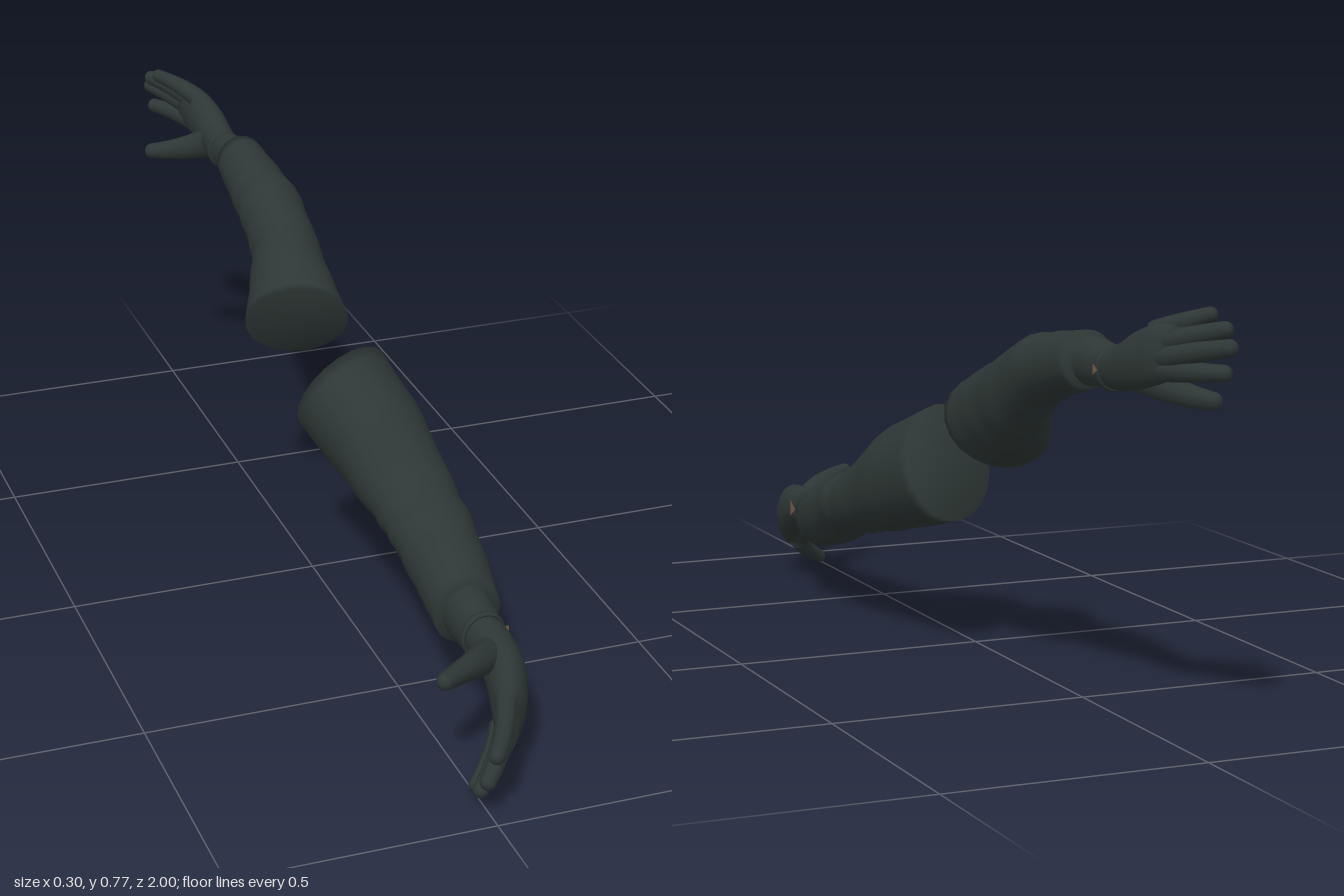
import * as THREE from 'three';

const cloth = new THREE.MeshStandardMaterial({ color: 0x2d3735, side: THREE.DoubleSide });
cloth.name = 'dark green cloth';
const skin = new THREE.MeshStandardMaterial({ color: 0x7a5a44, side: THREE.DoubleSide });
skin.name = 'brown skin';

const V = (a) => new THREE.Vector3(...a);

// Smooth closed skin over elliptical sections: [x, y, z, rx, ry, shearX, shearY]
function loft(sections, { steps = 4, sides = 20, folds = 0 } = {}) {
  const spline = (f) => new THREE.CatmullRomCurve3(sections.map(f), false, 'catmullrom', 0.4);
  const mid = spline((s) => new THREE.Vector3(s[0], s[1], s[2]));
  const rad = spline((s) => new THREE.Vector3(s[3], s[4], 0));
  const tilt = spline((s) => new THREE.Vector3(s[5] || 0, s[6] || 0, 0));
  const rows = (sections.length - 1) * steps;
  const pos = [], index = [];
  for (let i = 0; i <= rows; i++) {
    const t = i / rows, c = mid.getPoint(t), r = rad.getPoint(t), k = tilt.getPoint(t);
    for (let j = 0; j < sides; j++) {
      const a = (j / sides) * Math.PI * 2;
      const w = 1 + folds * Math.sin(Math.PI * t) * Math.sin(t * 34 + 2 * Math.sin(a + t * 5));
      const dx = r.x * w * Math.cos(a), dy = r.y * w * Math.sin(a);
      pos.push(c.x + dx, c.y + dy, c.z + k.x * dx + k.y * dy);
    }
  }
  const flip = sections[sections.length - 1][2] < sections[0][2];
  const tri = (a, b, c) => (flip ? index.push(a, c, b) : index.push(a, b, c));
  for (let i = 0; i < rows; i++) {
    for (let j = 0; j < sides; j++) {
      const a = i * sides + j, b = i * sides + ((j + 1) % sides);
      tri(a, b, a + sides);
      tri(b, b + sides, a + sides);
    }
  }
  // End caps
  const n = pos.length / 3, first = sections[0], last = sections[sections.length - 1];
  pos.push(first[0], first[1], first[2], last[0], last[1], last[2]);
  for (let j = 0; j < sides; j++) {
    const k = (j + 1) % sides;
    tri(k, j, n);
    tri(rows * sides + j, rows * sides + k, n + 1);
  }
  const g = new THREE.BufferGeometry();
  g.setAttribute('position', new THREE.Float32BufferAttribute(pos, 3));
  g.setIndex(index);
  g.computeVertexNormals();
  return g;
}

function add(group, name, geometry, material = cloth) {
  const m = new THREE.Mesh(geometry, material);
  m.name = name;
  group.add(m);
  return m;
}

// Curved finger tapering from radius r0 to a rounded tip of radius r1
function addFinger(group, name, base, bend, tip, r0, r1) {
  const path = new THREE.QuadraticBezierCurve3(V(base), V(bend), V(tip));
  const rows = 10, sides = 10;
  const g = new THREE.TubeGeometry(path, rows, 1, sides);
  const p = g.attributes.position, v = new THREE.Vector3();
  for (let i = 0; i < p.count; i++) {
    const t = Math.floor(i / (sides + 1)) / rows, c = path.getPointAt(t);
    v.fromBufferAttribute(p, i).sub(c).multiplyScalar(r0 + (r1 - r0) * t).add(c);
    p.setXYZ(i, v.x, v.y, v.z);
  }
  add(group, name, g);
  add(group, name + 'Tip', new THREE.SphereGeometry(r1, 10, 8)).position.copy(V(tip));
}

function buildArm(name, d) {
  const arm = new THREE.Group();
  arm.name = name;
  add(arm, 'sleeve', loft(d.sleeve, { folds: 0.025, steps: 5 }));
  add(arm, 'gloveCuff', loft(d.cuff));
  add(arm, 'palm', loft(d.palm));

  // Rolled seam around the wrist
  const [x, y, z, rx, ry] = d.seam;
  const seam = add(arm, 'wristSeam', new THREE.TorusGeometry(1, 0.09, 6, 24));
  seam.position.set(x, y, z);
  seam.scale.set(rx, ry, 0.1);

  // Small gap showing the wrist on the outer side
  const gap = add(arm, 'wristGap', new THREE.CircleGeometry(d.gap, 3), skin);
  gap.rotation.y = Math.PI / 2;
  gap.position.set(x + rx * 1.12, y, z);

  const names = ['indexFinger', 'middleFinger', 'ringFinger', 'littleFinger'];
  d.fingers.forEach(([base, tip], i) => {
    const bend = base.map((v, k) => (v + tip[k]) / 2);
    bend[0] += 0.014;
    addFinger(arm, names[i], base, bend, tip, 0.021, [0.015, 0.0155, 0.015, 0.0135][i]);
  });
  addFinger(arm, 'thumb', ...d.thumb, 0.034, 0.0165);
  return arm;
}

const frontArm = {
  sleeve: [
    [0.073, 0.38, -0.03, 0.11, 0.108, -0.5, 0.55],
    [0.1, 0.325, 0.13, 0.101, 0.1, -0.25, 0.35],
    [0.12, 0.26, 0.27, 0.086, 0.07, 0, 0.2],
    [0.123, 0.242, 0.34, 0.083, 0.066, 0, 0.15],
    [0.122, 0.205, 0.45, 0.075, 0.072, 0, 0.15],
    [0.114, 0.174, 0.56, 0.066, 0.066, 0, 0.1],
  ],
  cuff: [
    [0.115, 0.176, 0.54, 0.05, 0.059],
    [0.111, 0.177, 0.6, 0.047, 0.055],
    [0.107, 0.177, 0.655, 0.041, 0.046],
  ],
  seam: [0.108, 0.177, 0.655, 0.041, 0.046],
  gap: 0.021,
  palm: [
    [0.108, 0.177, 0.64, 0.038, 0.043],
    [0.114, 0.17, 0.7, 0.038, 0.045],
    [0.108, 0.149, 0.77, 0.039, 0.059],
    [0.088, 0.122, 0.835, 0.033, 0.062],
    [0.068, 0.112, 0.875, 0.018, 0.053],
  ],
  fingers: [
    [[0.08, 0.158, 0.83], [0.002, 0.135, 0.984]],
    [[0.083, 0.13, 0.84], [-0.01, 0.08, 0.975]],
    [[0.083, 0.1, 0.83], [-0.01, 0.043, 0.942]],
    [[0.085, 0.075, 0.8], [0.004, 0.016, 0.885]],
  ],
  thumb: [[0.092, 0.175, 0.72], [0.045, 0.206, 0.785], [-0.042, 0.217, 0.845]],
};

const backArm = {
  sleeve: [
    [0.025, 0.478, -0.165, 0.095, 0.086, 0.45, 0.5],
    [0.04, 0.515, -0.25, 0.083, 0.086, 0.2, 0.4],
    [0.06, 0.562, -0.35, 0.069, 0.078, 0, 0.25],
    [0.06, 0.61, -0.43, 0.067, 0.068, 0, 0.2],
    [0.057, 0.632, -0.51, 0.061, 0.061, 0, 0.15],
    [0.055, 0.657, -0.63, 0.05, 0.053, 0, 0.1],
  ],
  cuff: [
    [0.052, 0.655, -0.61, 0.041, 0.047],
    [0.048, 0.655, -0.66, 0.038, 0.044],
    [0.046, 0.652, -0.71, 0.033, 0.039],
  ],
  seam: [0.045, 0.651, -0.71, 0.034, 0.039],
  gap: 0.012,
  palm: [
    [0.045, 0.651, -0.695, 0.033, 0.038],
    [0.045, 0.658, -0.75, 0.034, 0.043],
    [0.04, 0.675, -0.8, 0.034, 0.052],
    [0.027, 0.692, -0.85, 0.029, 0.054],
    [0.012, 0.698, -0.885, 0.016, 0.045],
  ],
  fingers: [
    [[0.025, 0.664, -0.85], [-0.033, 0.67, -0.974]],
    [[0.025, 0.687, -0.86], [-0.038, 0.714, -0.983]],
    [[0.025, 0.71, -0.85], [-0.044, 0.742, -0.955]],
    [[0.025, 0.727, -0.83], [-0.042, 0.763, -0.905]],
  ],
  thumb: [[0.034, 0.655, -0.755], [0, 0.62, -0.81], [-0.072, 0.606, -0.865]],
};

export function createModel() {
  const model = new THREE.Group();
  model.name = 'sleevedArms';
  model.add(buildArm('frontArm', frontArm), buildArm('backArm', backArm));
  return model;
}
